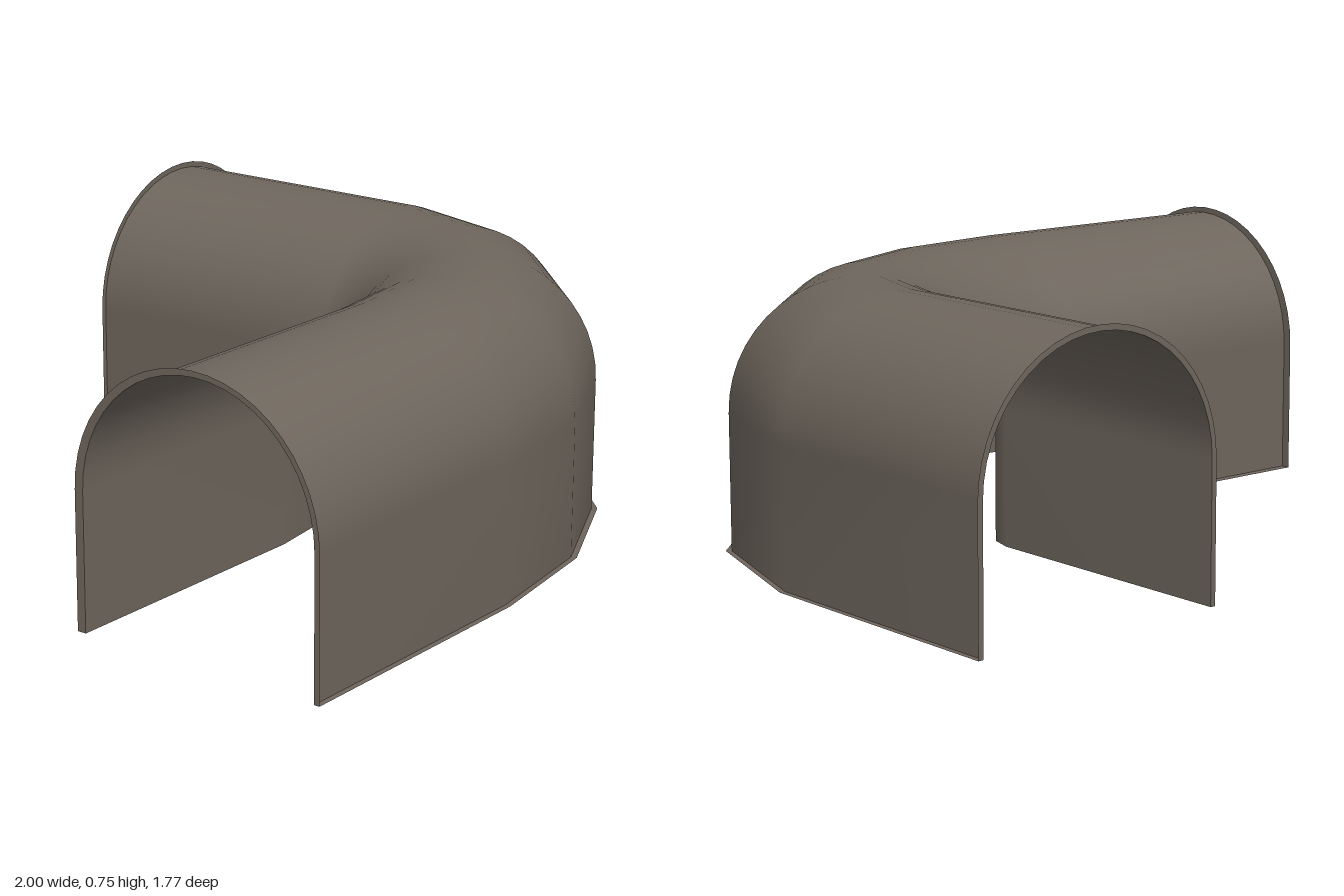
import * as THREE from 'three';

const LIP = 0.016; // width of the lips that stand out from the shell
const ARC_STEPS = 24;
const SPRING = 0.375; // height where the arch starts

// Plan of the bend: [x, z] of the inside edge and the outside edge, and the inside lip's width.
const RINGS = [
  [[-1, 0.128], [-1, 0.884], 0.026],
  [[-0.2, 0.128], [-0.2, 0.884], 0.026],
  [[0, 0.103], [0.197, 0.83], 0.025],
  [[0.156, 0.039], [0.56, 0.666], 0.022],
  [[0.23, -0.023], [0.865, 0.364], 0.018],
  [[0.25, -0.082], [1, -0.082], 0.015],
  [[0.25, -0.884], [1, -0.884], 0.015],
];

// Arch section as [across -1..1, arc height 0..1]; the first and last points are the wall feet.
const SECTION = [[-1, null]];
for (let j = 0; j <= ARC_STEPS; j++) {
  const a = Math.PI * (1 - j / ARC_STEPS);
  SECTION.push([Math.cos(a), Math.sin(a)]);
}
SECTION.push([1, null]);

const LAST_RING = RINGS.length - 1;
const LAST_POINT = SECTION.length - 1;

// Point j of ring i; k runs from 0 at the lip's outer edge to 1 on the shell.
function point(i, j, k) {
  const [[x0, z0], [x1, z1], insideLip] = RINGS[i];
  const [u, h] = SECTION[j];
  const width = Math.hypot(x1 - x0, z1 - z0);
  const start = k * insideLip / width;
  const end = 1 - k * LIP / width;
  const t = start + (end - start) * (u + 1) / 2;
  const y = h === null ? 0 : SPRING + h * (SPRING - k * LIP);
  return [x0 + (x1 - x0) * t, y, z0 + (z1 - z0) * t];
}

// Smooth sheet of rows x cols quads through at(row, col).
function sheet(rows, cols, at, flip) {
  const positions = [], index = [];
  for (let r = 0; r <= rows; r++) {
    for (let c = 0; c <= cols; c++) positions.push(...at(r, c));
  }
  for (let r = 0; r < rows; r++) {
    for (let c = 0; c < cols; c++) {
      const a = r * (cols + 1) + c, b = a + cols + 1;
      if (flip) index.push(a, a + 1, b, b, a + 1, b + 1);
      else index.push(a, b, a + 1, b, b + 1, a + 1);
    }
  }
  const geometry = new THREE.BufferGeometry();
  geometry.setAttribute('position', new THREE.Float32BufferAttribute(positions, 3));
  geometry.setIndex(index);
  geometry.computeVertexNormals();
  return geometry;
}

export function createModel() {
  const model = new THREE.Group();
  model.name = 'curvedTunnel';
  const stone = new THREE.MeshStandardMaterial({ color: 0x6e665d, side: THREE.DoubleSide });
  stone.name = 'warm grey';

  const add = (name, geometry) => {
    const mesh = new THREE.Mesh(geometry, stone);
    mesh.name = name;
    model.add(mesh);
  };

  // Open arched shell, seen from both sides
  add('tunnelShell', sheet(LAST_RING, LAST_POINT, (i, j) => point(i, j, 1), true));

  // Narrow lips along the feet of the walls
  add('insideFootLip', sheet(LAST_RING, 1, (i, k) => point(i, 0, k), true));
  add('outsideFootLip', sheet(LAST_RING, 1, (i, k) => point(i, LAST_POINT, k), false));

  // Arched lips around the two openings
  add('rightOpeningLip', sheet(LAST_POINT, 1, (j, k) => point(0, j, k), false));
  add('backOpeningLip', sheet(LAST_POINT, 1, (j, k) => point(LAST_RING, j, k), true));

  return model;
}
